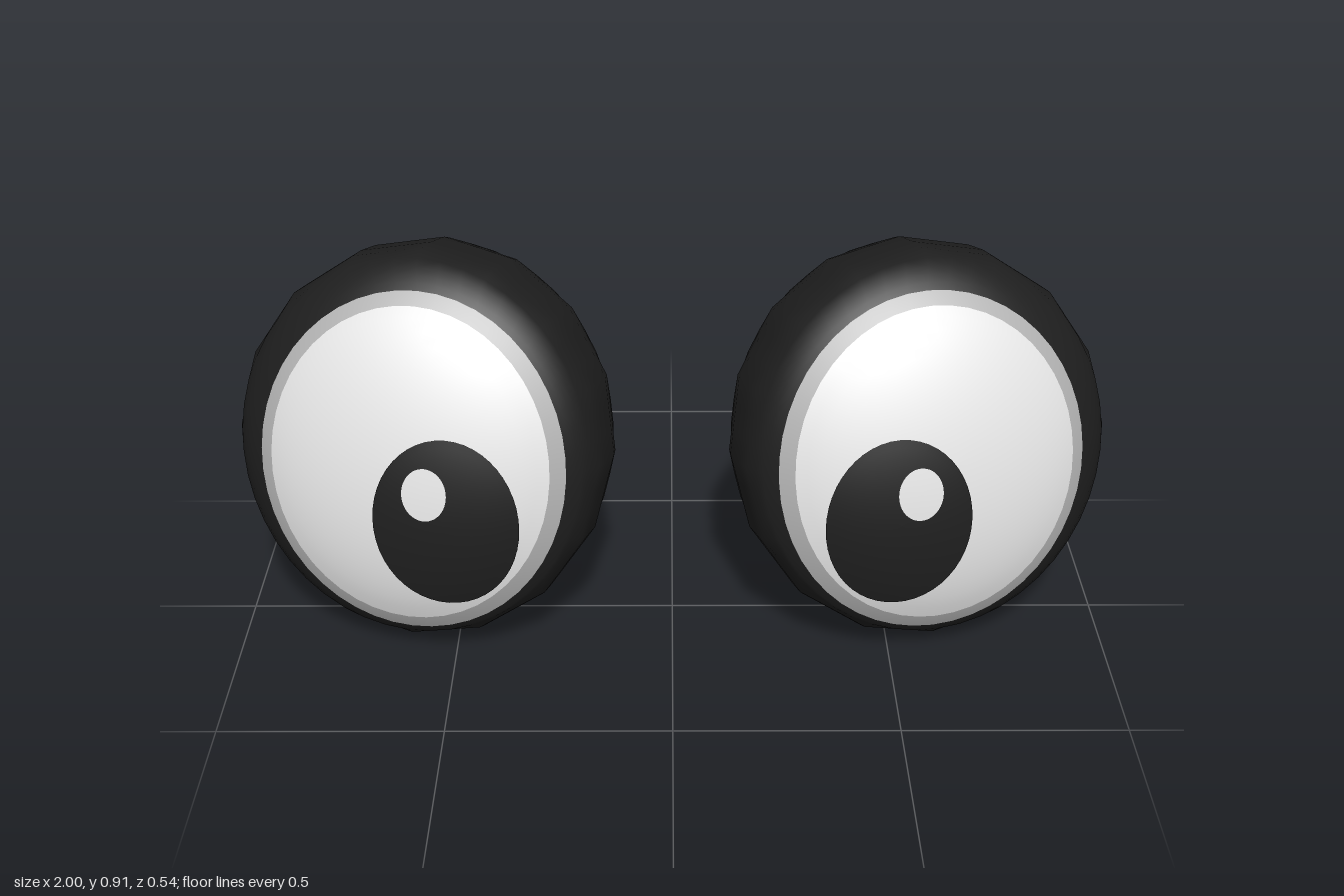
import * as THREE from 'three';

const black = new THREE.MeshStandardMaterial({ color: 0x1e1e1e });
black.name = 'black';
const white = new THREE.MeshStandardMaterial({ color: 0xe6e6e6 });
white.name = 'white';
const grey = new THREE.MeshStandardMaterial({ color: 0xb2b2b2 });
grey.name = 'grey';

const SEG = 48;
const A = 0.435, B = 0.458; // half width and half height of an eye
const CORNER = 0.965; // share of the outline where the back cone begins
const TILT = 0.03; // how far the back leans at top and bottom

// Ellipses in the eye's own plane: [centre u, centre v, radius u, radius v]
const BODY = [0, 0, A, B];
const RING = [-0.022, -0.02, 0.354, 0.394];
const WHITE = [-0.022, -0.02, 0.323, 0.363];
const CENTRE = [0, 0, 0, 0];
const PUPIL = [-0.126, -0.13, 0.161, 0.198];
const GLINT = [-0.084, -0.06, 0.05, 0.061];

const scaled = (ellipse, k) => ellipse.map((e) => e * k);

// The front is a shallow dome, the back a flat cone with a raised tip
function onFront(u, v, lift) {
  const rho = Math.min(1, Math.hypot(u / A, v / B));
  return [u, v, 0.01 + 0.222 * Math.sqrt(1 - rho * rho) + lift];
}
function onBack(u, v, lift) {
  const k = 1 - Math.hypot(u / A, v / B) / CORNER;
  return [u, v + 0.078 * k, -0.115 - (TILT * v) / B - 0.15 * k - lift];
}

// Shrinks the outline to a 16-sided polygon
function facet(angle) {
  const step = Math.PI / 8;
  const a = (angle % step) - step / 2;
  return Math.cos(step / 2) / Math.cos(a);
}

// Rows of a surface running from one ellipse to another
function rowsBetween(from, to, count, place, lift = 0) {
  return Array.from({ length: count + 1 }, (_, i) => (angle) => {
    const e = from.map((f, k) => THREE.MathUtils.lerp(f, to[k], i / count));
    return place(e[0] + e[2] * Math.cos(angle), e[1] + e[3] * Math.sin(angle), lift);
  });
}

// Row around the rim at a share of the outline, leaning by tilt
function rimRow(share, z, tilt) {
  return (angle) => {
    const k = share * facet(angle);
    return [A * k * Math.cos(angle), B * k * Math.sin(angle), z - tilt * Math.sin(angle)];
  };
}

function skin(name, rows, material, side) {
  const pos = [], index = [];
  rows.forEach((row, i) => {
    for (let j = 0; j < SEG; j++) {
      const [x, y, z] = row((j / SEG) * Math.PI * 2);
      pos.push(side * x, y, z);
      if (i === rows.length - 1) continue;
      const n = (j + 1) % SEG;
      const a = i * SEG + j, b = i * SEG + n, c = b + SEG, d = a + SEG;
      if (side > 0) index.push(a, d, c, a, c, b);
      else index.push(a, c, d, a, b, c);
    }
  });
  const geometry = new THREE.BufferGeometry();
  geometry.setAttribute('position', new THREE.Float32BufferAttribute(pos, 3));
  geometry.setIndex(index);
  geometry.computeVertexNormals();
  const mesh = new THREE.Mesh(geometry, material);
  mesh.name = name;
  return mesh;
}

function createEye(side) {
  const eye = new THREE.Group();
  eye.name = side > 0 ? 'leftEye' : 'rightEye';
  const backScale = 1.06; // the pattern is a little larger on the back

  // Thick black rim from the front ring around to the back ring
  eye.add(skin('rim', [
    ...rowsBetween(RING, scaled(BODY, 0.95), 4, onFront),
    rimRow(0.99, 0.045, 0), rimRow(1, 0.005, TILT / 2),
    rimRow(0.997, -0.07, TILT), rimRow(CORNER + 0.015, -0.108, TILT),
    ...rowsBetween(scaled(RING, backScale), scaled(BODY, CORNER), 2, onBack).reverse(),
  ], black, side));

  // Face of the eye, repeated on the back
  for (const [prefix, place, size] of [['front', onFront, 1], ['back', onBack, backScale]]) {
    const patch = (name, from, to, count, material, lift) => {
      const rows = rowsBetween(scaled(from, size), scaled(to, size), count, place, lift);
      if (place === onBack) rows.reverse();
      eye.add(skin(prefix + name, rows, material, side));
    };
    const spot = (e) => [e[0], e[1], 0, 0];
    patch('GreyRing', WHITE, RING, 2, grey, 0);
    patch('EyeWhite', CENTRE, WHITE, 14, white, 0);
    patch('Pupil', spot(PUPIL), PUPIL, 10, black, 0.003);
    patch('Glint', spot(GLINT), GLINT, 5, white, 0.005);
  }

  // Turned slightly outward and upward
  eye.rotation.set(-0.244, side * 0.244, 0, 'YXZ');
  eye.position.set(side * 0.57, 0.455, 0);
  return eye;
}

export function createModel() {
  const model = new THREE.Group();
  model.name = 'eyes';
  for (const side of [1, -1]) model.add(createEye(side));
  return model;
}
